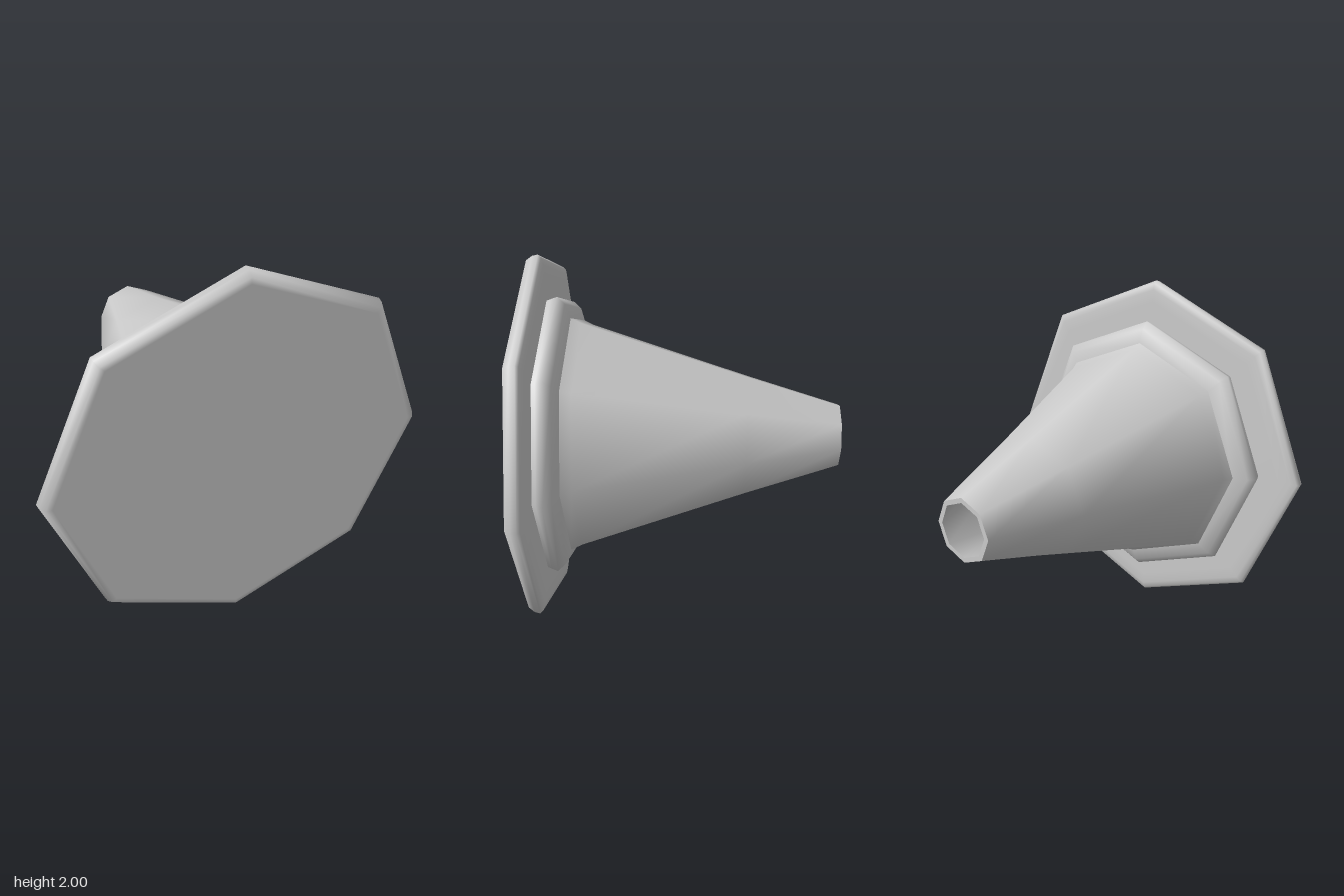
import * as THREE from 'three';

// Eight-sided solid of revolution; profile is [radius, height] from bottom to top
function turned(name, profile, material) {
  const points = profile.map(([r, h]) => new THREE.Vector2(r, h));
  const mesh = new THREE.Mesh(new THREE.LatheGeometry(points, 8), material);
  mesh.name = name;
  return mesh;
}

export function createModel() {
  const group = new THREE.Group();
  group.name = 'trafficCone';
  const material = new THREE.MeshStandardMaterial({ color: 0xcccccc, side: THREE.DoubleSide });

  const cone = new THREE.Group();
  cone.name = 'cone';

  // Flat octagonal foot with rounded rim
  cone.add(turned('basePlate', [
    [0, 0], [0.94, 0], [0.97, 0.003], [0.993, 0.035], [1, 0.065],
    [0.985, 0.08], [0.95, 0.088], [0.88, 0.09], [0.6, 0.09], [0, 0.09],
  ], material));

  // Bulged collar where the cone meets the foot
  cone.add(turned('collar', [
    [0.755, 0.085], [0.765, 0.11], [0.778, 0.145], [0.74, 0.183], [0.66, 0.21], [0.6, 0.215],
  ], material));

  // Tapering outer wall
  cone.add(turned('outerWall', [
    [0.665, 0.205], [0.635, 0.265], [0.34, 1.13], [0.175, 1.64],
  ], material));

  // Narrow lip around the open tip
  cone.add(turned('tipRim', [[0.175, 1.64], [0.148, 1.64]], material));

  // Hollow interior, running down to the foot
  cone.add(turned('innerWall', [
    [0.148, 1.64], [0.31, 1.13], [0.6, 0.265], [0.62, 0.09],
  ], material));

  // Lay the cone down: foot to the front, tip to the back
  cone.rotation.x = -Math.PI / 2;
  cone.position.set(0, 1, 0.82);
  group.add(cone);
  return group;
}
